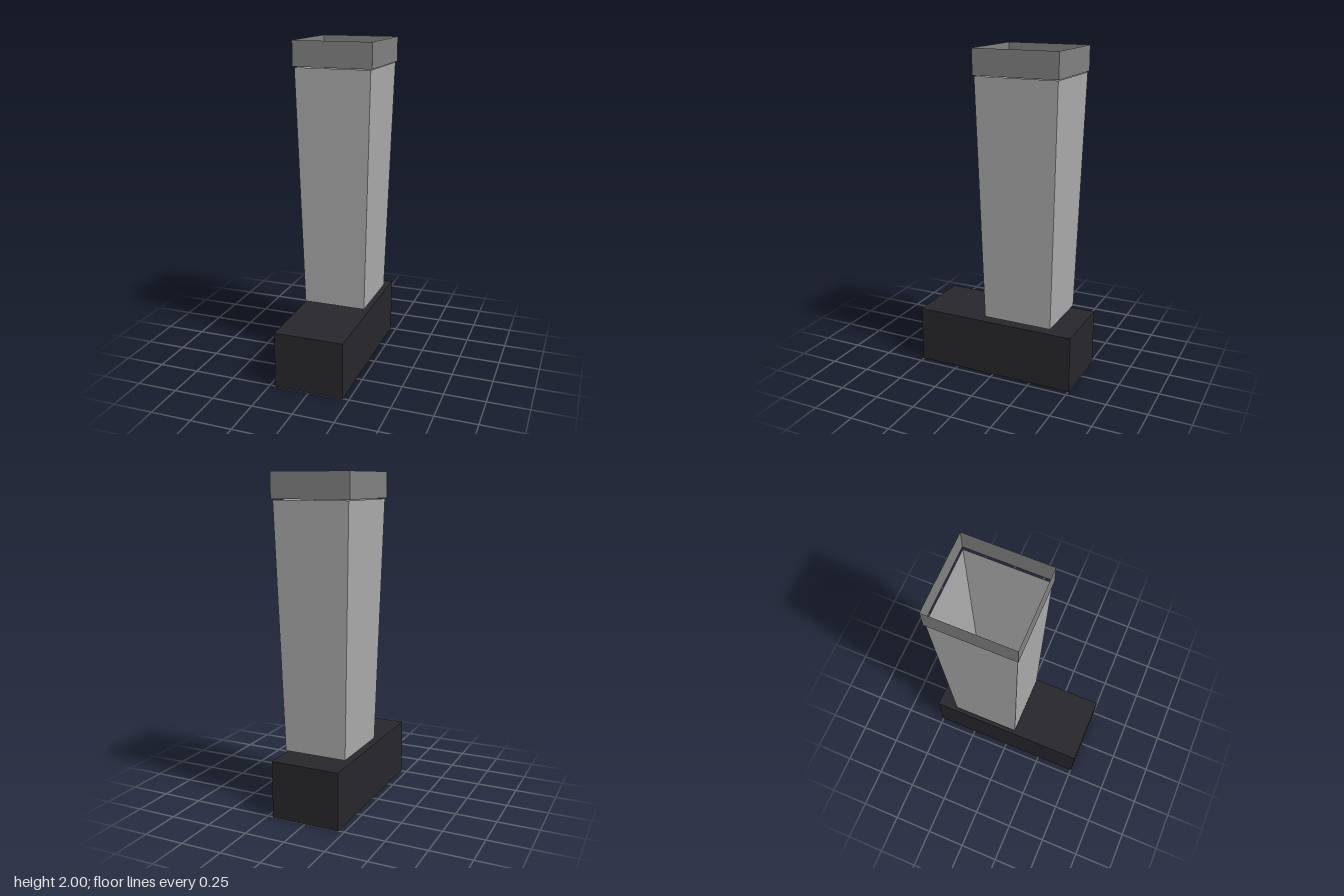
import * as THREE from 'three';

const material = (color) =>
  new THREE.MeshStandardMaterial({ color, side: THREE.DoubleSide, flatShading: true });

// Thin box shell between y0 and y1; bottom and top are [width, depth].
// open lists the box sides to leave out: 2 = top, 3 = bottom.
function shell(name, y0, y1, bottom, top, z, open, mat) {
  const geo = new THREE.BoxGeometry(1, 1, 1);
  const pos = geo.attributes.position;
  for (let i = 0; i < pos.count; i++) {
    const up = pos.getY(i) > 0;
    const [w, d] = up ? top : bottom;
    pos.setXYZ(i, pos.getX(i) * w, up ? y1 : y0, pos.getZ(i) * d + z);
  }
  // Each box side owns six consecutive indices
  const index = Array.from(geo.index.array);
  geo.setIndex(index.filter((_, i) => !open.includes(Math.floor(i / 6))));
  geo.clearGroups();
  geo.computeVertexNormals();
  const mesh = new THREE.Mesh(geo, mat);
  mesh.name = name;
  return mesh;
}

export function createModel() {
  const group = new THREE.Group();
  group.name = 'bootedLeg';

  // Long dark shoe, hollow from below
  const sole = [0.425, 1.01];
  group.add(shell('shoe', 0, 0.35, sole, sole, 0, [3], material(0x27262b)));

  // Shaft widening upward, floating just above the shoe, open at the top
  group.add(shell('shaft', 0.375, 1.845, [0.388, 0.43], [0.464, 0.506], -0.155, [2], material(0xaaaaaa)));

  // Slightly wider cuff band, open at both ends
  const band = [0.484, 0.52];
  group.add(shell('cuff', 1.85, 2, band, band, -0.155, [2, 3], material(0x808080)));

  return group;
}
